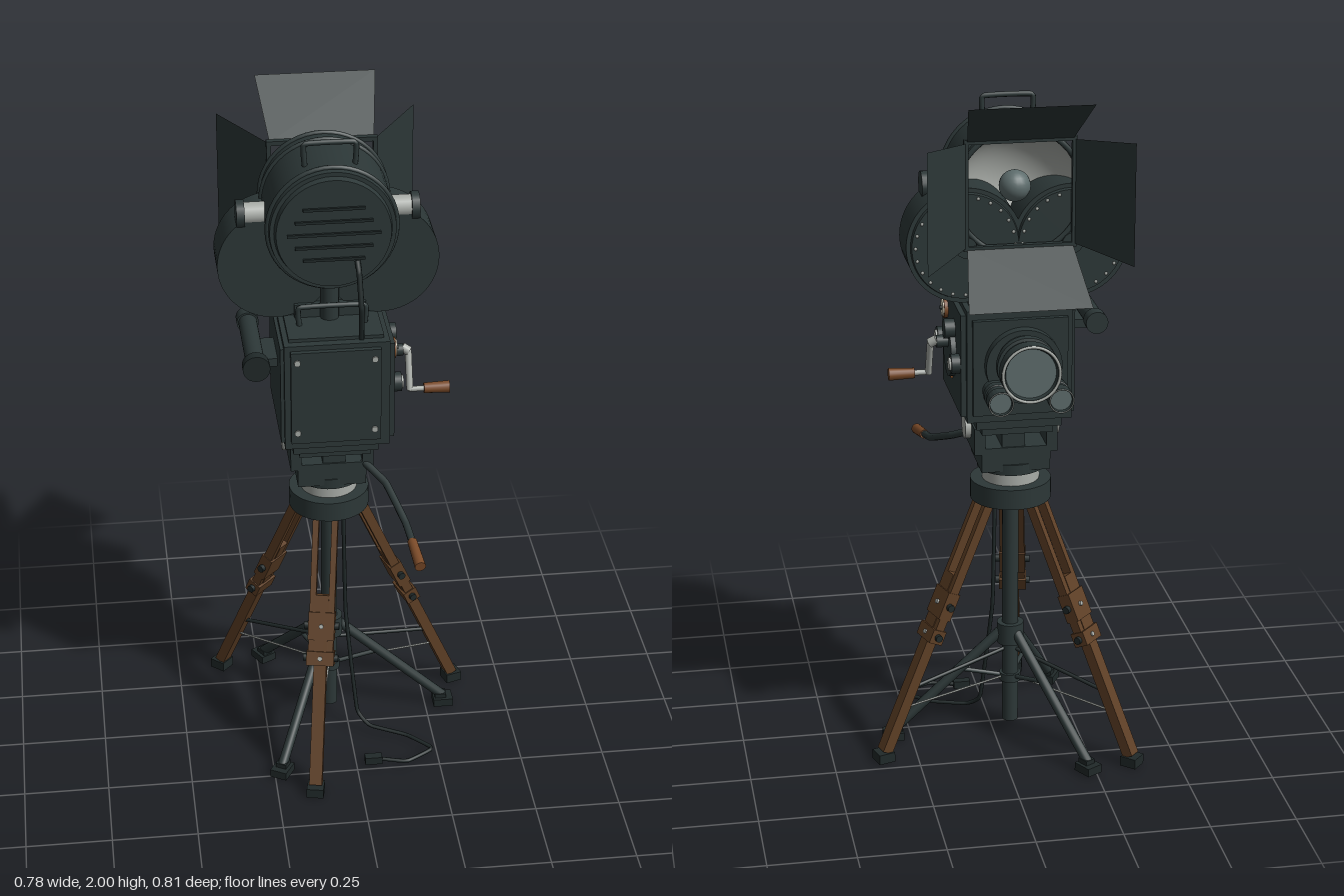
import * as THREE from 'three';
import { toCreasedNormals } from 'three/addons/utils/BufferGeometryUtils.js';

const mat = (name, color, side = THREE.FrontSide) => {
  const m = new THREE.MeshStandardMaterial({ color, side });
  m.name = name;
  return m;
};
const UP = new THREE.Vector3(0, 1, 0);
const V = (p) => new THREE.Vector3(...p);

export function createModel() {
  const dark = mat('dark green metal', 0x2c3737, THREE.DoubleSide);
  const black = mat('black rubber', 0x202929);
  const wood = mat('wood', 0x5e3f25);
  const grip = mat('grip wood', 0x7a4a28);
  const silver = mat('silver', 0xa9ada8, THREE.DoubleSide);
  const glass = mat('lens glass', 0x5d6c6c);
  const cream = mat('cream dial', 0xc9c3ae);

  const root = new THREE.Group();
  const CX = -0.05, CZ = -0.065;

  const add = (name, geo, m, p = [0, 0, 0], parent = root) => {
    const mesh = new THREE.Mesh(geo, m);
    mesh.name = name;
    mesh.position.set(...p);
    parent.add(mesh);
    return mesh;
  };
  // box given by its min and max corners
  const box = (name, m, x0, x1, y0, y1, z0, z1, parent = root) =>
    add(name, new THREE.BoxGeometry(x1 - x0, y1 - y0, z1 - z0), m,
      [(x0 + x1) / 2, (y0 + y1) / 2, (z0 + z1) / 2], parent);
  // round bar between two points
  const rod = (name, m, a, b, r, r2 = r, n = 16, parent = root) => {
    const A = V(a), B = V(b), d = B.clone().sub(A);
    const mesh = add(name, new THREE.CylinderGeometry(r2, r, d.length(), n), m,
      A.clone().add(B).multiplyScalar(0.5).toArray(), parent);
    mesh.quaternion.setFromUnitVectors(UP, d.normalize());
    return mesh;
  };
  // thin tube through points with slightly rounded corners
  const tube = (name, m, pts, r) => add(name, new THREE.TubeGeometry(
    new THREE.CatmullRomCurve3(pts.map(V), false, 'catmullrom', 0.15), pts.length * 10, r, 8), m);
  const ringZ = (name, m, x, y, z, R, r) => add(name, new THREE.TorusGeometry(R, r, 8, 48), m, [x, y, z]);

  // ---- lamp ----
  const LY = 1.715;
  const shell = add('lampShell', new THREE.CylinderGeometry(0.18, 0.18, 0.255, 48, 1, true), dark, [CX, LY, -0.0725]);
  shell.rotation.x = Math.PI / 2;
  rod('lampBackRim', dark, [CX, LY, 0.04], [CX, LY, 0.072], 0.18, 0.176, 48);
  rod('lampBackPlate', dark, [CX, LY, 0.07], [CX, LY, 0.09], 0.165, 0.16, 48);
  for (const z of [0.048, -0.145, -0.192]) ringZ('lampBand', dark, CX, LY, z, 0.18, 0.008);
  for (let i = -2; i <= 2; i++) {
    const w = 0.13 - Math.abs(i) * 0.022;
    box('ventSlat', black, CX - w, CX + w, LY + i * 0.038 - 0.004, LY + i * 0.038 + 0.004, 0.088, 0.097);
  }
  const bowl = add('reflector', new THREE.SphereGeometry(0.172, 40, 14, 0, Math.PI * 2, 0, Math.PI / 2), silver, [CX, LY, -0.18]);
  bowl.rotation.x = Math.PI / 2;
  bowl.scale.y = 0.85;
  add('bulb', new THREE.SphereGeometry(0.045, 20, 14), glass, [CX, LY, -0.12]);
  tube('lampHandle', dark, [[-0.12, 1.88, -0.005], [-0.12, 1.945, -0.005], [0.02, 1.945, -0.005], [0.02, 1.88, -0.005]], 0.008);
  for (const s of [-1, 1]) {
    rod('pivotBoss', silver, [CX + s * 0.175, LY, -0.07], [CX + s * 0.237, LY, -0.07], 0.032);
    rod('pivotKnob', dark, [CX + s * 0.235, LY, -0.07], [CX + s * 0.258, LY, -0.07], 0.04);
  }
  // barn doors and their frame
  for (let i = 0; i < 4; i++) {
    const side = new THREE.Group();
    side.name = 'barnDoor';
    side.position.set(CX, LY, 0);
    side.rotation.z = i * Math.PI / 2;
    root.add(side);
    const g = new THREE.BufferGeometry();
    g.setAttribute('position', new THREE.Float32BufferAttribute(
      [-0.148, 0.15, -0.207, 0.148, 0.15, -0.207, 0.173, 0.285, -0.38, -0.173, 0.285, -0.38], 3));
    g.setIndex([0, 1, 2, 0, 2, 3]);
    g.computeVertexNormals();
    add('doorLeaf', g, dark, [0, 0, 0], side);
    box('frameBar', dark, -0.158, 0.158, 0.145, 0.158, -0.212, -0.195, side);
  }
  rod('lampPost', dark, [CX, 1.39, -0.03], [CX, 1.55, -0.03], 0.027);
  tube('lampLead', black, [[0.015, 1.63, 0.09], [0.018, 1.6, 0.108], [0.022, 1.5, 0.132], [0.026, 1.39, 0.1]], 0.008);

  // ---- film magazine ----
  for (const x of [-0.2, 0.1]) {
    rod('magazineDrum', dark, [x, 1.565, -0.042], [x, 1.565, -0.177], 0.165, 0.165, 56);
    rod('magazineLid', dark, [x, 1.565, -0.17], [x, 1.565, -0.187], 0.155, 0.15, 56);
    rod('lidKnob', dark, [x, 1.565, -0.18], [x, 1.565, -0.203], 0.03);
    for (let i = 0; i < 24; i++) {
      const a = i * Math.PI / 12;
      add('lidRivet', new THREE.SphereGeometry(0.005, 6, 4), silver,
        [x + 0.14 * Math.cos(a), 1.565 + 0.14 * Math.sin(a), -0.187]);
    }
  }
  box('magazineThroat', dark, -0.2, 0.1, 1.4, 1.5, -0.17, -0.05);
  box('magazineFoot', dark, -0.15, 0.055, 1.385, 1.44, -0.18, -0.03);

  // ---- camera body ----
  box('cameraBody', dark, -0.195, 0.105, 1.06, 1.39, -0.235, 0.125);
  box('sidePlate', dark, 0.1, 0.12, 1.075, 1.375, -0.22, 0.11);
  box('sidePlate', dark, -0.205, -0.19, 1.075, 1.375, -0.22, 0.11);
  box('topPlate', dark, -0.18, 0.09, 1.385, 1.4, -0.2, 0.1);
  box('frontPlate', dark, -0.18, 0.09, 1.085, 1.365, -0.25, -0.23);
  box('backDoor', dark, -0.178, 0.078, 1.085, 1.375, 0.12, 0.14);
  for (const x of [-0.16, 0.06]) for (const y of [1.12, 1.345])
    rod('doorScrew', silver, [x, y, 0.138], [x, y, 0.145], 0.009);
  tube('bodyHandle', dark, [[-0.14, 1.39, 0.015], [-0.14, 1.455, 0.015], [0.045, 1.455, 0.015], [0.045, 1.39, 0.015]], 0.008);

  // lens turret
  rod('turret', dark, [CX, 1.235, -0.245], [CX, 1.235, -0.28], 0.108, 0.108, 48);
  const lens = (x, y, r) => {
    const prof = [[0.92, -0.27], [0.92, -0.3], [1, -0.302], [1, -0.325], [0.9, -0.327], [0.9, -0.35],
      [1, -0.352], [1, -0.39], [0.88, -0.39], [0.82, -0.375]];
    const g = new THREE.LatheGeometry(prof.map(([a, z]) => new THREE.Vector2(a * r, -z)), 36);
    g.rotateX(-Math.PI / 2);
    add('lensBarrel', toCreasedNormals(g, 0.6), dark, [x, y, 0]);
    ringZ('lensRing', silver, x, y, -0.389, r * 0.94, r * 0.05);
    rod('lensGlass', glass, [x, y, -0.36], [x, y, -0.379], r * 0.85, r * 0.85, 36);
  };
  lens(CX, 1.25, 0.085);
  lens(CX - 0.085, 1.168, 0.036);
  lens(CX + 0.085, 1.168, 0.036);

  // viewfinder tube
  rod('viewfinderTube', dark, [-0.273, 1.325, -0.17], [-0.273, 1.325, 0.1], 0.027, 0.027, 24);
  rod('viewfinderFront', dark, [-0.273, 1.325, -0.2], [-0.273, 1.325, -0.16], 0.032, 0.032, 24);
  rod('eyepiece', black, [-0.273, 1.325, 0.095], [-0.273, 1.325, 0.126], 0.039, 0.039, 24);
  box('viewfinderBracket', dark, -0.27, -0.19, 1.28, 1.305, -0.1, 0.03);

  // controls and crank
  const dial = (name, m, y, z, r, x1, n = 24) => rod(name, m, [0.11, y, z], [x1, y, z], r, r, n);
  dial('dialRim', grip, 1.32, 0.03, 0.03, 0.131);
  dial('dialFace', cream, 1.32, 0.03, 0.025, 0.135);
  dial('dialHub', black, 1.32, 0.03, 0.006, 0.14);
  dial('crankPlate', dark, 1.225, -0.07, 0.075, 0.135, 32);
  for (const z of [0.06, -0.19]) {
    dial('controlKnob', dark, 1.225, z, 0.028, 0.145);
    dial('knobCap', silver, 1.225, z, 0.02, 0.151, 8);
  }
  dial('upperKnob', dark, 1.3, -0.1, 0.028, 0.15);
  dial('crankShaft', dark, 1.255, -0.075, 0.018, 0.168);
  rod('crankArm', silver, [0.166, 1.262, -0.078], [0.186, 1.25, -0.072], 0.014);
  rod('crankArm', silver, [0.184, 1.257, -0.075], [0.184, 1.145, -0.03], 0.01);
  rod('crankPin', silver, [0.18, 1.148, -0.03], [0.23, 1.148, -0.03], 0.008);
  rod('crankGrip', grip, [0.225, 1.148, -0.032], [0.3, 1.148, -0.032], 0.015, 0.018);
  box('woodTag', grip, 0.118, 0.127, 1.143, 1.167, -0.078, 0.018);

  // ---- tilt head ----
  box('headPlate', dark, -0.17, 0.075, 1.03, 1.065, -0.215, 0.105);
  box('headPlateLower', dark, -0.15, 0.055, 1.003, 1.032, -0.19, 0.08);
  box('headCore', dark, -0.077, -0.01, 0.93, 1.01, -0.15, 0.025);
  for (const s of [-1, 1]) {
    const x = CX + s * 0.105;
    box('headCheek', dark, x - 0.016, x + 0.016, 0.93, 1.01, -0.155, 0.03);
    rod('tiltKnob', silver, [CX + s * 0.115, 0.99, CZ], [CX + s * 0.138, 0.99, CZ], 0.037, 0.037, 20);
  }
  box('headBlock', dark, -0.15, 0.05, 0.875, 0.948, -0.155, 0.03);
  rod('headBase', dark, [CX, 0.863, CZ], [CX, 0.895, CZ], 0.098, 0.098, 40);
  rod('panRing', silver, [CX, 0.82, CZ], [CX, 0.866, CZ], 0.083, 0.083, 40);
  rod('crown', dark, [CX, 0.765, CZ], [CX, 0.825, CZ], 0.118, 0.118, 40);
  tube('panHandle', dark, [[0.04, 0.945, 0.015], [0.1, 0.905, 0.085], [0.14, 0.85, 0.22], [0.149, 0.832, 0.3]], 0.011);
  rod('panGrip', grip, [0.149, 0.832, 0.295], [0.158, 0.812, 0.4], 0.014, 0.016);

  // ---- wooden tripod legs ----
  for (let i = 0; i < 3; i++) {
    const leg = new THREE.Group();
    leg.name = 'tripodLeg';
    leg.position.set(CX, 0, CZ);
    leg.rotation.y = THREE.MathUtils.degToRad(18 - 120 * i);
    root.add(leg);
    const at = (t) => [0.08 + 0.345 * t, 0.78 - 0.765 * t];
    const slat = (name, m, t0, t1, thick, width, z) => {
      const [x0, y0] = at(t0), [x1, y1] = at(t1);
      const b = add(name, new THREE.BoxGeometry(thick, Math.hypot(x1 - x0, y1 - y0), width), m,
        [(x0 + x1) / 2, (y0 + y1) / 2, z], leg);
      b.rotation.z = Math.atan2(x1 - x0, y0 - y1);
    };
    for (const z of [-0.028, 0.028]) slat('upperRail', wood, 0, 0.54, 0.028, 0.018, z);
    slat('lowerSlat', wood, 0.3, 0.98, 0.032, 0.038, 0);
    slat('legBlock', wood, 0.36, 0.46, 0.04, 0.078, 0);
    slat('legClamp', wood, 0.5, 0.55, 0.044, 0.082, 0);
    for (const t of [0.41, 0.525]) {
      const [x, y] = at(t);
      rod('clampBolt', black, [x, y, -0.052], [x, y, 0.052], 0.011, 0.011, 10, leg);
      rod('boltHead', silver, [x, y, 0], [x + 0.024, y + 0.011, 0], 0.007, 0.007, 8, leg);
    }
    box('legFoot', black, 0.397, 0.447, 0, 0.03, -0.025, 0.025, leg);
    // spreader rods to the centre column
    rod('spreader', black, [0.02, 0.275, 0], [0.335, 0.212, 0], 0.006, 0.006, 8, leg);
    rod('lowerSpreader', silver, [0.02, 0.185, 0], [0.355, 0.155, 0], 0.003, 0.003, 6, leg);
  }

  // ---- centre stand ----
  rod('standPole', dark, [CX, 0.04, CZ], [CX, 0.78, CZ], 0.024, 0.024, 20);
  rod('standCollar', dark, [CX, 0.295, CZ], [CX, 0.36, CZ], 0.04, 0.04, 20);
  rod('standCollarLower', dark, [CX, 0.17, CZ], [CX, 0.195, CZ], 0.032, 0.032, 20);
  for (let i = 0; i < 3; i++) {
    const leg = new THREE.Group();
    leg.name = 'standLeg';
    leg.position.set(CX, 0, CZ);
    leg.rotation.y = i * Math.PI * 2 / 3;
    root.add(leg);
    rod('standStrut', dark, [0.025, 0.335, 0], [0.355, 0.03, 0], 0.015, 0.015, 12, leg);
    rod('standBrace', dark, [0.02, 0.185, 0], [0.15, 0.215, 0], 0.007, 0.007, 8, leg);
    box('standFoot', black, 0.325, 0.385, 0.003, 0.028, -0.026, 0.026, leg);
    box('standFootTop', black, 0.33, 0.365, 0.025, 0.042, -0.016, 0.016, leg);
  }

  // ---- power cable ----
  tube('cable', black, [[-0.012, 0.77, -0.02], [-0.005, 0.4, -0.018], [0.024, 0.07, 0.035], [0.06, 0.03, 0.07],
    [0.165, 0.022, 0.12], [0.235, 0.02, 0.195], [0.15, 0.02, 0.25], [0.07, 0.02, 0.228]], 0.006);
  box('plug', black, 0.025, 0.076, 0.008, 0.032, 0.214, 0.24);

  return root;
}
